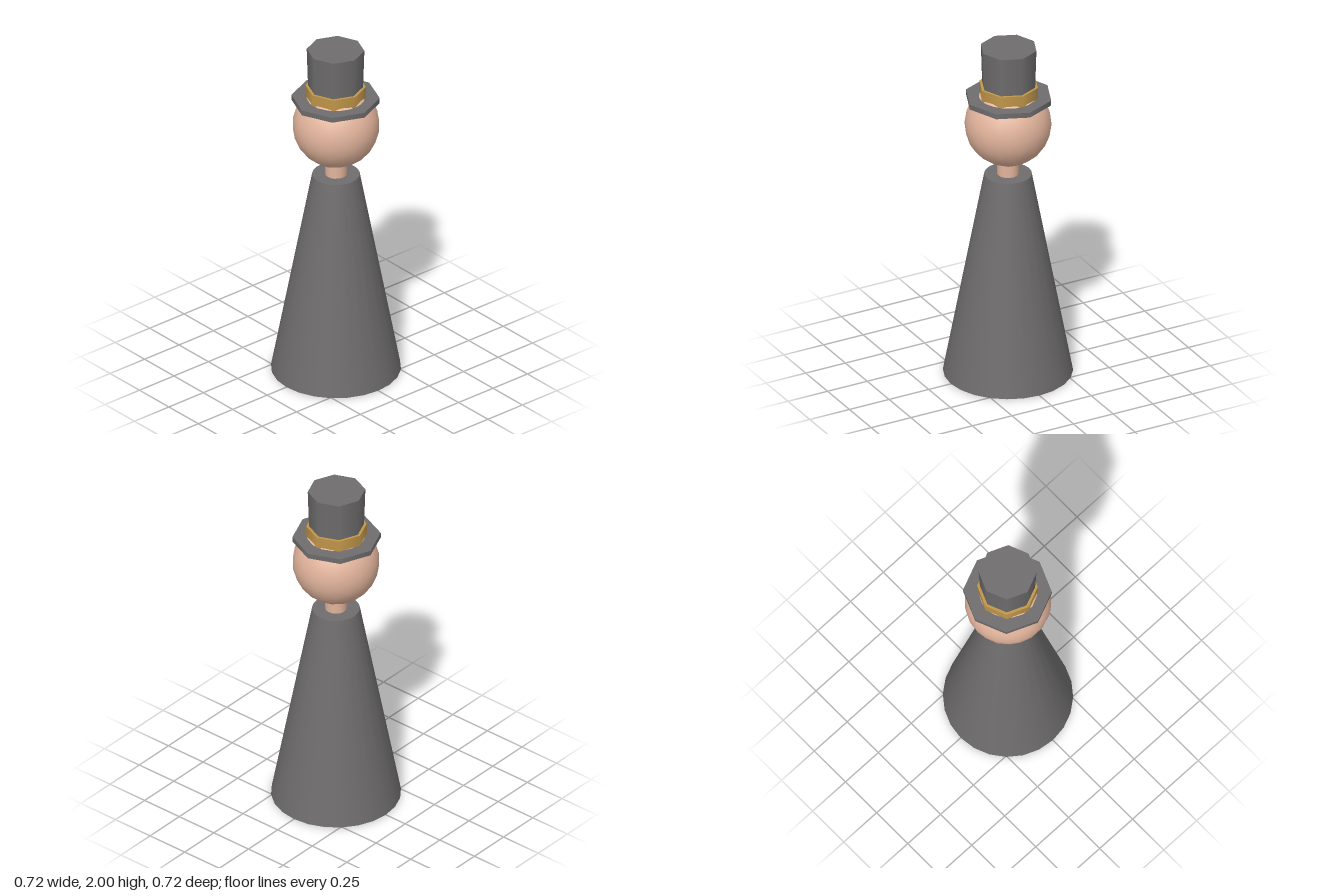
import * as THREE from 'three';

const material = (name, color) => {
  const m = new THREE.MeshStandardMaterial({ color });
  m.name = name;
  return m;
};

export function createModel() {
  const charcoal = material('charcoal', 0x6e6c6c);
  const skin = material('skin', 0xe2b49c);
  const gold = material('gold', 0xc0964a);

  // Tapered cylinder standing between two heights
  const taper = (name, mat, bottomRadius, topRadius, y0, y1, sides) => {
    const mesh = new THREE.Mesh(
      new THREE.CylinderGeometry(topRadius, bottomRadius, y1 - y0, sides), mat);
    mesh.name = name;
    mesh.position.y = (y0 + y1) / 2;
    return mesh;
  };

  const model = new THREE.Group();
  model.name = 'figure';

  // Robe and neck
  model.add(taper('robe', charcoal, 0.36, 0.132, 0, 1.22, 24));
  model.add(taper('neck', skin, 0.06, 0.06, 1.2, 1.34, 16));

  // Round head
  const head = new THREE.Mesh(new THREE.IcosahedronGeometry(0.241, 3), skin);
  head.name = 'head';
  head.position.y = 1.53;
  model.add(head);

  // Eight-sided top hat, set very slightly back
  const hat = new THREE.Group();
  hat.name = 'hat';
  hat.position.z = -0.004;
  hat.add(
    taper('brim', charcoal, 0.245, 0.245, 1.675, 1.705, 8),
    taper('crown', charcoal, 0.15, 0.16, 1.69, 2, 8),
    taper('hatBand', gold, 0.168, 0.168, 1.705, 1.772, 8));
  model.add(hat);

  return model;
}
